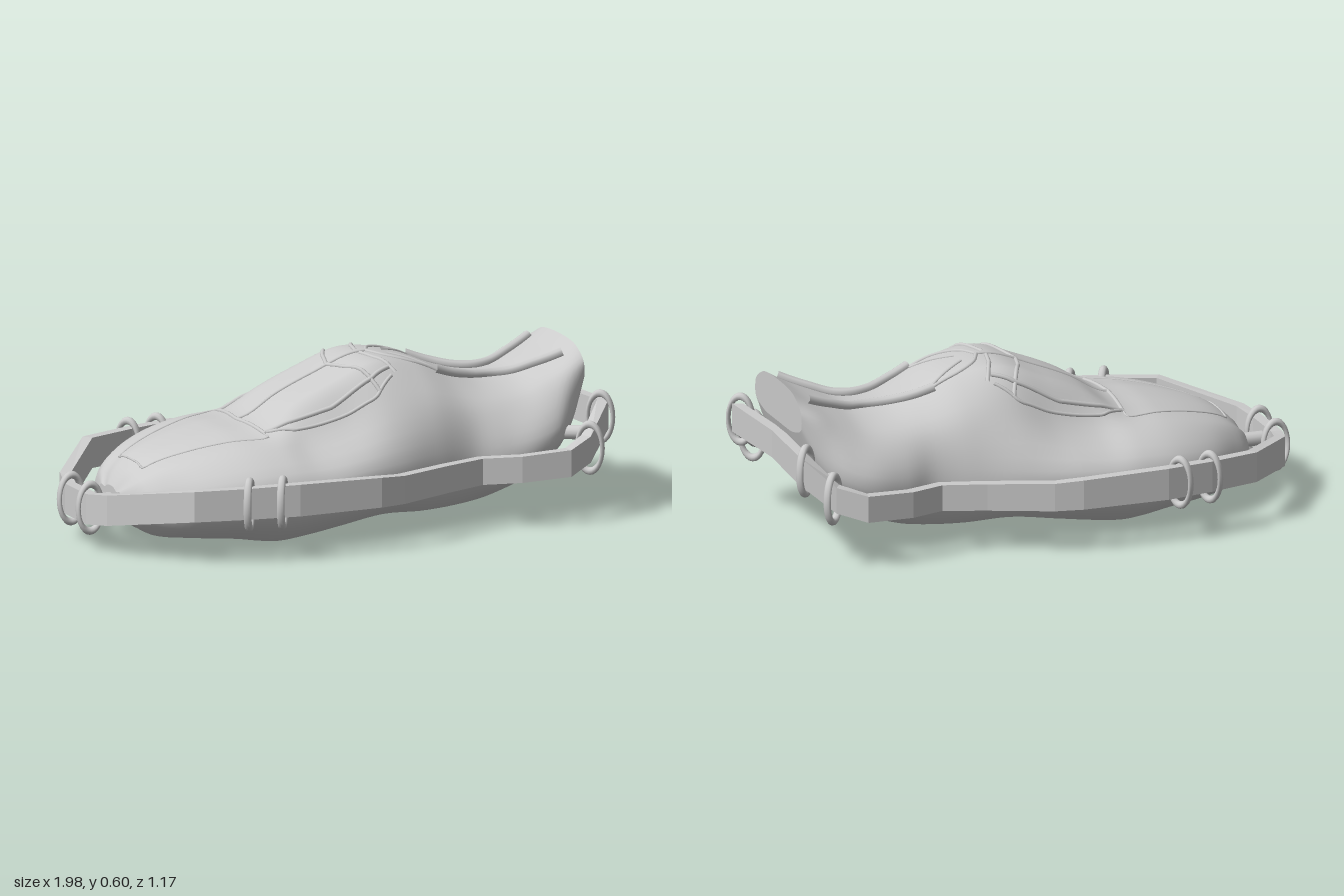
import * as THREE from 'three';

const grey = new THREE.MeshStandardMaterial({ color: 0xcccccc });
const flat = new THREE.MeshStandardMaterial({ color: 0xcccccc, flatShading: true });

// Hull stations: x, floor y, top y, half width, shoulder y, mid half width, mid y, top half width
const stations = [
  [-0.82, 0.11, 0.20, 0.10, 0.16, 0.08, 0.19, 0.05],
  [-0.79, 0.08, 0.245, 0.20, 0.17, 0.15, 0.225, 0.09],
  [-0.72, 0.04, 0.30, 0.27, 0.19, 0.20, 0.27, 0.11],
  [-0.60, 0.03, 0.345, 0.36, 0.22, 0.26, 0.31, 0.14],
  [-0.45, 0.02, 0.38, 0.42, 0.24, 0.30, 0.34, 0.16],
  [-0.30, 0.00, 0.40, 0.44, 0.25, 0.31, 0.35, 0.18],
  [-0.18, 0.01, 0.47, 0.44, 0.25, 0.28, 0.36, 0.17],
  [-0.04, 0.03, 0.53, 0.43, 0.26, 0.275, 0.39, 0.17],
  [0.13, 0.05, 0.59, 0.395, 0.27, 0.28, 0.45, 0.16],
  [0.30, 0.04, 0.57, 0.345, 0.28, 0.275, 0.45, 0.14],
  [0.45, 0.045, 0.51, 0.31, 0.29, 0.255, 0.42, 0.13],
  [0.56, 0.07, 0.48, 0.335, 0.28, 0.255, 0.41, 0.13],
  [0.68, 0.12, 0.48, 0.35, 0.30, 0.25, 0.42, 0.14],
  [0.78, 0.19, 0.515, 0.325, 0.33, 0.24, 0.46, 0.14],
  [0.86, 0.27, 0.55, 0.265, 0.40, 0.235, 0.50, 0.15],
  [0.92, 0.43, 0.585, 0.225, 0.50, 0.215, 0.53, 0.15],
];

// Smooth interpolation of every station value at a given x
function stationAt(x) {
  const n = stations.length;
  let i = 0;
  while (i < n - 2 && x > stations[i + 1][0]) i++;
  const at = (k) => stations[Math.min(n - 1, Math.max(0, k))];
  const slope = (k, c) => (at(k + 1)[c] - at(k - 1)[c]) / (at(k + 1)[0] - at(k - 1)[0]);
  const a = at(i), b = at(i + 1), h = b[0] - a[0];
  const t = THREE.MathUtils.clamp((x - a[0]) / h, 0, 1), u = t * t * (3 - 2 * t);
  return a.map((v, c) => c === 0 ? x : v * (1 - u) + b[c] * u
    + h * t * (1 - t) * ((1 - t) * slope(i, c) - t * slope(i + 1, c)));
}

// Half cross-section, floor centre to roof centre, as (z, y)
function halfSection(x) {
  const [, yb, yt, w, ys, wm, ym, wt] = stationAt(x);
  const low = yb + (ys - yb) * 0.45;
  const pts = [[0, yb], [w * 0.3, yb], [w * 0.6, yb + 0.003], [w * 0.97, low], [w, ys],
    [wm, ym], [wt, yt - 0.014], [wt * 0.5, yt - 0.002], [0, yt]];
  return new THREE.CatmullRomCurve3(pts.map(([z, y]) => new THREE.Vector3(0, y, z)), false, 'centripetal')
    .getPoints(32);
}

// Height of the upper hull at (x, z)
function topY(x, z) {
  const s = halfSection(x), a = Math.abs(z);
  for (let j = s.length - 1; j > 0; j--) {
    const p = s[j], q = s[j - 1];
    if (a <= q.z) return p.y + (q.y - p.y) * THREE.MathUtils.clamp((a - p.z) / (q.z - p.z || 1), 0, 1);
  }
  return s[16].y;
}

// Skin closed rings of points into an indexed mesh
function skin(rings, closed, caps) {
  const pos = [], idx = [], n = rings[0].length, m = rings.length;
  rings.forEach((r) => r.forEach((p) => pos.push(p.x, p.y, p.z)));
  for (let i = 0; i < (closed ? m : m - 1); i++) {
    for (let j = 0; j < n; j++) {
      const k = (j + 1) % n, A = i * n, B = ((i + 1) % m) * n;
      idx.push(A + j, B + j, B + k, A + j, B + k, A + k);
    }
  }
  if (caps) [rings[0], rings[m - 1]].forEach((r, e) => {
    const base = pos.length / 3, c = new THREE.Vector3();
    r.forEach((p) => { pos.push(p.x, p.y, p.z); c.addScaledVector(p, 1 / n); });
    pos.push(c.x, c.y, c.z);
    for (let j = 0; j < n; j++) {
      const k = (j + 1) % n;
      idx.push(base + n, base + (e ? k : j), base + (e ? j : k));
    }
  });
  const g = new THREE.BufferGeometry();
  g.setAttribute('position', new THREE.Float32BufferAttribute(pos, 3));
  g.setIndex(idx);
  g.computeVertexNormals();
  return g;
}

export function createModel() {
  const model = new THREE.Group();
  const add = (name, geo, mat = grey) => {
    const mesh = new THREE.Mesh(geo, mat);
    mesh.name = name;
    model.add(mesh);
    return mesh;
  };

  // Hull
  const rings = [];
  for (let i = 0; i <= 72; i++) {
    const x = -0.82 + 1.74 * i / 72, s = halfSection(x);
    const right = s.slice(1, -1).reverse().map((p) => new THREE.Vector3(x, p.y, -p.z));
    rings.push([...s.map((p) => new THREE.Vector3(x, p.y, p.z)), ...right]);
  }
  add('hull', skin(rings, false, true));

  // Trim lines that follow the hull, given as (x, z)
  const trim = (name, pts, r, lift = 0, mirror = true, smooth = false) => {
    for (const s of mirror ? [1, -1] : [1]) {
      const path = smooth ? new THREE.CatmullRomCurve3(pts.map(([x, z]) => new THREE.Vector3(x, 0, z * s)))
        : new THREE.CurvePath();
      if (!smooth) for (let i = 1; i < pts.length; i++) {
        path.add(new THREE.LineCurve3(new THREE.Vector3(pts[i - 1][0], 0, pts[i - 1][1] * s),
          new THREE.Vector3(pts[i][0], 0, pts[i][1] * s)));
      }
      const on = path.getSpacedPoints(24).map((p) => new THREE.Vector3(p.x, topY(p.x, p.z) + lift, p.z));
      add(name, new THREE.TubeGeometry(new THREE.CatmullRomCurve3(on), 48, r, 8));
    }
  };
  trim('hoodSeam', [[-0.74, 0], [-0.74, 0.1], [-0.6, 0.15], [-0.31, 0.24], [-0.33, 0]], 0.004);
  trim('windscreenBase', [[-0.33, 0], [-0.31, 0.2]], 0.008);
  trim('windscreenPillar', [[-0.31, 0.19], [-0.2, 0.21], [-0.06, 0.22], [0.1, 0.2], [0.18, 0.17]], 0.009);
  trim('sideWindowSill', [[-0.31, 0.19], [-0.22, 0.24], [0, 0.25], [0.1, 0.25], [0.18, 0.2]], 0.007);
  trim('roofSpine', [[-0.33, 0], [0.18, 0]], 0.007, 0, false);
  trim('roofBrace', [[0.02, 0], [0.05, 0.1], [0.12, 0.24]], 0.008);
  trim('rearPillar', [[0.14, 0.02], [0.16, 0.1], [0.2, 0.19]], 0.008);
  trim('rearScoopEdge', [[0.17, 0], [0.21, 0.07], [0.28, 0.11], [0.39, 0.12]], 0.007, 0, true, true);
  trim('rearScoopInner', [[0.24, 0.03], [0.31, 0.07], [0.38, 0.11]], 0.006, 0, true, true);
  trim('tailRail', [[0.38, 0.13], [0.46, 0.11], [0.55, 0.08], [0.63, 0.07], [0.74, 0.1], [0.87, 0.145]],
    0.018, 0.008, true, true);

  // Bumper band: x, z, bottom y, top y
  const half = [[-0.955, 0.09, 0.09, 0.20], [-0.925, 0.2, 0.105, 0.215], [-0.71, 0.475, 0.155, 0.265],
    [-0.52, 0.53, 0.158, 0.27], [-0.34, 0.565, 0.16, 0.275], [-0.02, 0.56, 0.16, 0.268],
    [0.08, 0.535, 0.158, 0.26], [0.3, 0.44, 0.158, 0.256], [0.45, 0.39, 0.16, 0.255],
    [0.58, 0.44, 0.165, 0.26], [0.76, 0.465, 0.175, 0.272], [0.86, 0.41, 0.205, 0.30], [0.97, 0.32, 0.30, 0.405]];
  const rear = [[0.945, 0, 0.30, 0.40]];
  const loop = [...half, ...rear, ...half.slice().reverse().map(([x, z, a, b]) => [x, -z, a, b])];
  const band = loop.map(([x, z, a, b], i) => {
    const unit = (p, q) => new THREE.Vector2(q[0] - p[0], q[1] - p[1]).normalize();
    const n = loop.length, here = loop[i];
    const t = unit(loop[(i + n - 1) % n], here).add(unit(here, loop[(i + 1) % n])).normalize();
    const ix = x + t.y * 0.04, iz = z - t.x * 0.04;
    return [[x, a, z], [x, b, z], [ix, b, iz], [ix, a, iz]].map((p) => new THREE.Vector3(...p));
  });
  add('bumperBand', skin(band, true, false), flat);

  // Elliptical rings around the band, and struts joining it to the hull
  const ring = (x, y, z, dx, dz) => {
    const m = add('bandRing', new THREE.TorusGeometry(0.085, 0.014, 10, 28));
    m.position.set(x, y, z);
    m.rotation.y = Math.atan2(-dz, dx);
    m.scale.x = 0.55;
  };
  const strut = (a, b) => add('strut', new THREE.TubeGeometry(
    new THREE.LineCurve3(new THREE.Vector3(...a), new THREE.Vector3(...b)), 1, 0.026, 12));
  strut([-0.94, 0.15, 0], [-0.76, 0.15, 0]);
  for (const s of [1, -1]) {
    ring(-0.935, 0.147, 0.08 * s, 1, 0);
    ring(-0.515, 0.21, 0.515 * s, -0.55, 0.83 * s);
    ring(-0.395, 0.21, 0.535 * s, -0.55, 0.83 * s);
    ring(0.865, 0.255, 0.39 * s, 0.75, 0.66 * s);
    ring(0.94, 0.345, 0.315 * s, 0.75, 0.66 * s);
    strut([-0.36, 0.21, 0.41 * s], [-0.455, 0.21, 0.53 * s]);
    strut([0.76, 0.29, 0.24 * s], [0.9, 0.3, 0.355 * s]);
  }
  return model;
}
